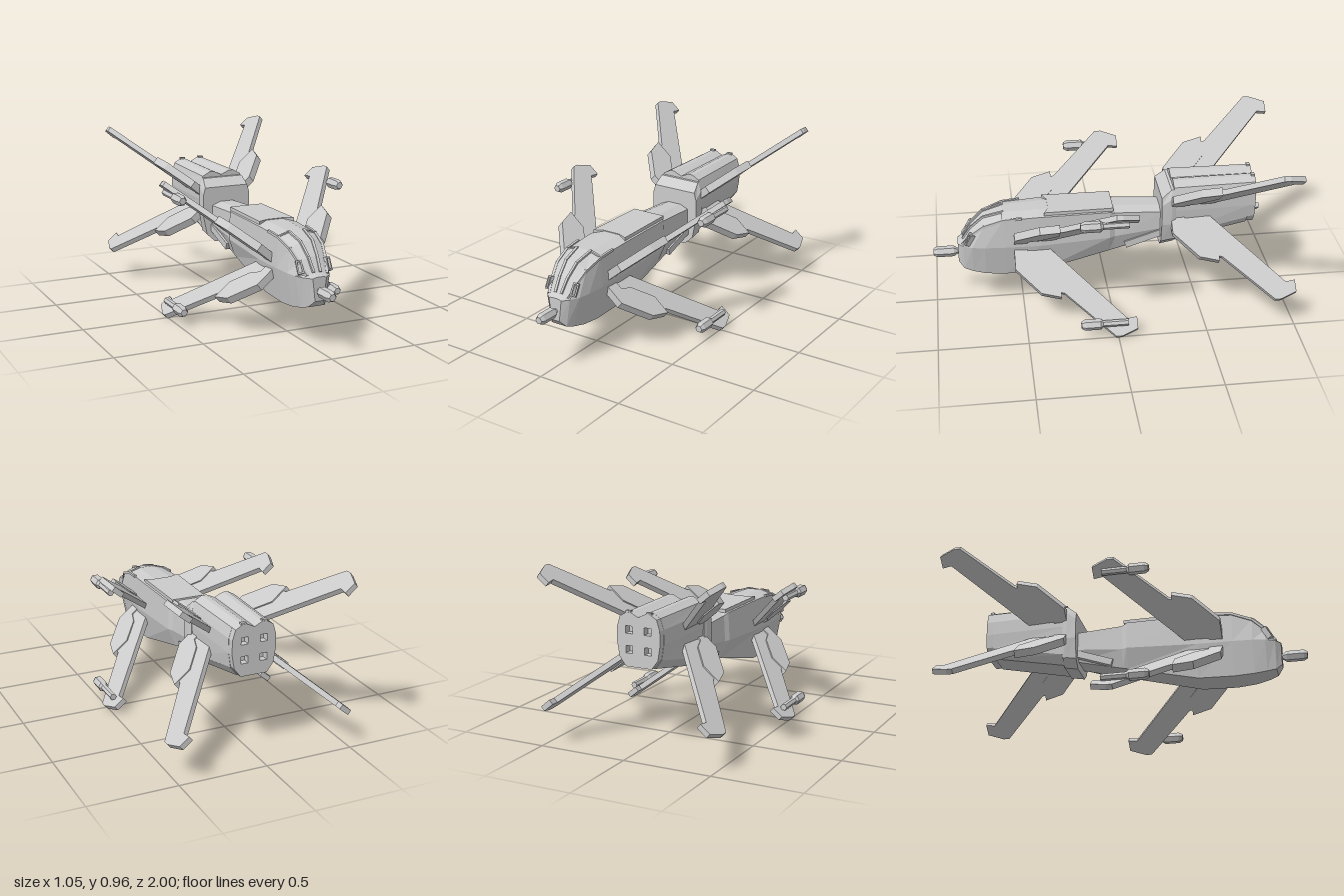
import * as THREE from 'three';

const mat = new THREE.MeshStandardMaterial({ color: 0xcccccc, flatShading: true });
const matDouble = new THREE.MeshStandardMaterial({ color: 0xcccccc, flatShading: true, side: THREE.DoubleSide });
const TILT = THREE.MathUtils.degToRad(40);

function add(parent, name, geo, x = 0, y = 0, z = 0, m = mat) {
  const mesh = new THREE.Mesh(geo, m);
  mesh.name = name;
  mesh.position.set(x, y, z);
  parent.add(mesh);
  return mesh;
}

// Half outline (bottom to top on +x) completed by its mirror image
const mirror = half => [...half, ...half.filter(p => p[0] > 0).reverse().map(([x, y]) => [-x, y])];

// Skin over mirrored cross-sections, ordered front to back, with both ends capped
function loft(sections) {
  const rings = sections.map(([z, half]) => mirror(half).map(([x, y]) => [x, y, z]));
  const pos = [], n = rings[0].length;
  const tri = (a, b, c) => pos.push(...a, ...b, ...c);
  for (let i = 0; i < rings.length - 1; i++) {
    for (let j = 0; j < n; j++) {
      const k = (j + 1) % n, f = rings[i], b = rings[i + 1];
      tri(f[j], b[j], b[k]);
      tri(f[j], b[k], f[k]);
    }
  }
  const first = rings[0], last = rings[rings.length - 1];
  for (let j = 1; j < n - 1; j++) {
    tri(first[0], first[j], first[j + 1]);
    tri(last[0], last[j + 1], last[j]);
  }
  const geo = new THREE.BufferGeometry();
  geo.setAttribute('position', new THREE.Float32BufferAttribute(pos, 3));
  geo.computeVertexNormals();
  return geo;
}

// Flat plate with an outline in x, z and a thickness in y
function plate(points, thickness) {
  const shape = new THREE.Shape(points.map(([x, z]) => new THREE.Vector2(x, z)));
  const geo = new THREE.ExtrudeGeometry(shape, { depth: thickness, bevelEnabled: false });
  return geo.translate(0, 0, -thickness / 2).rotateX(Math.PI / 2);
}

// Six-sided turned part pointing along z; profile is [radius, z]
function hexTurned(profile) {
  const geo = new THREE.LatheGeometry(profile.map(([r, z]) => new THREE.Vector2(r, z)), 6);
  return geo.rotateY(Math.PI / 6).rotateX(Math.PI / 2);
}

// Square bar between two points
function strut(parent, name, a, b, w) {
  const A = new THREE.Vector3(...a), B = new THREE.Vector3(...b);
  const mesh = add(parent, name, new THREE.BoxGeometry(w, w, A.distanceTo(B) + w * 0.5));
  mesh.position.copy(A).lerp(B, 0.5);
  mesh.lookAt(B);
}

// Four crossed wings around a centre height
function wingSet(parent, name, yc, z) {
  const c = Math.cos(TILT), slant = pts => pts.map(([x, pz]) => [x / c, pz]);
  const blade = plate(slant([[0.08, -0.345], [0.17, -0.345], [0.275, -0.47], [0.31, -0.61], [0.515, -0.875],
    [0.515, -0.91], [0.487, -1], [0.434, -1], [0.44, -0.947], [0.08, -0.52]]), 0.03);
  const root = plate(slant([[0.08, -0.345], [0.19, -0.345], [0.305, -0.48], [0.328, -0.59],
    [0.24, -0.59], [0.155, -0.49], [0.135, -0.42], [0.08, -0.42]]), 0.044);
  for (const sy of [1, -1]) for (const sx of [1, -1]) {
    const wing = new THREE.Group();
    wing.name = name;
    wing.position.set(0, yc - 0.05 * sy, z);
    wing.rotation.z = sx > 0 ? TILT * sy : Math.PI - TILT * sy;
    add(wing, 'wingBlade', blade);
    add(wing, 'wingRoot', root);
    parent.add(wing);
  }
}

export function createModel() {
  const ship = new THREE.Group();
  ship.name = 'spacecraft';

  // Forward hull: z, then bottom, sill, shoulder and roof as [half width, height]
  add(ship, 'hull', loft([
    [0.86, [[0.025, 0.275], [0.04, 0.398], [0.03, 0.402], [0.015, 0.404]]],
    [0.83, [[0.05, 0.24], [0.075, 0.4], [0.06, 0.412], [0.022, 0.42]]],
    [0.78, [[0.065, 0.226], [0.1, 0.4], [0.078, 0.47], [0.026, 0.495]]],
    [0.71, [[0.077, 0.213], [0.112, 0.4], [0.096, 0.53], [0.035, 0.56]]],
    [0.6, [[0.083, 0.205], [0.119, 0.4], [0.11, 0.57], [0.045, 0.59]]],
    [0.4, [[0.083, 0.211], [0.124, 0.4], [0.116, 0.58], [0.05, 0.598]]],
    [0.0, [[0.072, 0.31], [0.118, 0.42], [0.11, 0.58], [0.05, 0.598]]],
    [-0.03, [[0.07, 0.317], [0.104, 0.42], [0.097, 0.568], [0.045, 0.59]]],
    [-0.32, [[0.062, 0.39], [0.093, 0.45], [0.09, 0.552], [0.04, 0.572]]],
  ]));

  // Raised roof panel with a chevron front edge
  add(ship, 'roofPanel', plate([[-0.1, -0.02], [0.1, -0.02], [0.105, 0.37], [0.05, 0.345],
    [-0.05, 0.345], [-0.105, 0.37]], 0.02), 0, 0.592, 0);

  // Canopy frame and window slots
  for (const s of [1, -1]) {
    const ridge = [[0.02, 0.425, 0.828], [0.026, 0.495, 0.78], [0.035, 0.56, 0.71], [0.045, 0.59, 0.6]];
    const side = [[0.06, 0.412, 0.83], [0.078, 0.47, 0.78], [0.096, 0.53, 0.71], [0.11, 0.57, 0.6], [0.114, 0.578, 0.5]];
    for (const [name, line] of [['canopyRidge', ridge], ['canopyRail', side]]) {
      for (let i = 0; i < line.length - 1; i++) {
        strut(ship, name, ...[line[i], line[i + 1]].map(([x, y, z]) => [x * s, y, z]), 0.014);
      }
    }
    strut(ship, 'canopyBrow', [0.045 * s, 0.588, 0.6], [0.108 * s, 0.568, 0.6], 0.014);
    const slot = new THREE.Shape([[-0.016, -0.036], [0.016, -0.036], [0.016, 0.036], [-0.016, 0.036]].map(p => new THREE.Vector2(...p)));
    slot.holes.push(new THREE.Path([[-0.008, -0.028], [-0.008, 0.028], [0.008, 0.028], [0.008, -0.028]].map(p => new THREE.Vector2(...p))));
    const frame = add(ship, 'windowSlot', new THREE.ExtrudeGeometry(slot, { depth: 0.03, bevelEnabled: false }), 0.075 * s, 0.44, 0.78);
    frame.rotation.set(-0.5, 0.4 * s, 0);
    // Stepped strake under the rear of the hull
    strut(ship, 'hullStrake', [0.075 * s, 0.355, -0.1], [0.08 * s, 0.42, -0.29], 0.04);
  }

  // Collar between hull and engine block
  add(ship, 'collar', loft([
    [-0.29, [[0.075, 0.335], [0.125, 0.38], [0.15, 0.5], [0.147, 0.62], [0.135, 0.662]]],
    [-0.345, [[0.075, 0.345], [0.125, 0.39], [0.15, 0.5], [0.148, 0.66], [0.125, 0.708]]],
    [-0.37, [[0.075, 0.35], [0.122, 0.39], [0.142, 0.5], [0.142, 0.66], [0.12, 0.71]]],
  ]));

  // Engine block with twin humps on top
  const engineHalf = (yb, w) => [[w * 0.6, yb], [w * 0.9, yb + 0.05], [w, 0.58], [w, 0.66], [w * 0.86, 0.718],
    [w * 0.55, 0.742], [w * 0.35, 0.742], [0, 0.72]];
  add(ship, 'engineBlock', loft([[-0.36, engineHalf(0.36, 0.14)], [-0.79, engineHalf(0.447, 0.127)]]));

  // Rear plate pierced by four square exhausts
  const back = new THREE.Shape(mirror(engineHalf(0.453, 0.126)).map(p => new THREE.Vector2(...p)));
  for (const x of [-0.055, 0.055]) for (const y of [0.545, 0.65]) {
    const h = 0.02;
    back.holes.push(new THREE.Path([[x - h, y - h], [x - h, y + h], [x + h, y + h], [x + h, y - h]].map(p => new THREE.Vector2(...p))));
  }
  add(ship, 'exhaustPlate', new THREE.ExtrudeGeometry(back, { depth: 0.042, bevelEnabled: false }), 0, 0, -0.83);
  for (const s of [1, -1]) add(ship, 'engineCatch', new THREE.BoxGeometry(0.03, 0.016, 0.02), 0.06 * s, 0.742, -0.818);

  // Crossed wings, fore and aft
  wingSet(ship, 'frontWing', 0.397, 0.89);
  wingSet(ship, 'rearWing', 0.569, 0);

  // Wing guns and nose gun
  const gun = hexTurned([[0, -0.056], [0.019, -0.056], [0.019, 0.085], [0.031, 0.1], [0.031, 0.185], [0.02, 0.206], [0, 0.206]]);
  for (const s of [1, -1]) for (const y of [0.715, 0.087]) add(ship, 'wingGun', gun, 0.483 * s, y, 0, matDouble);
  add(ship, 'noseGun', hexTurned([[0, 0.78], [0.016, 0.78], [0.016, 0.865], [0.031, 0.885], [0.031, 0.98], [0.02, 1], [0, 1]]),
    0, 0.33, 0, matDouble);

  return ship;
}
